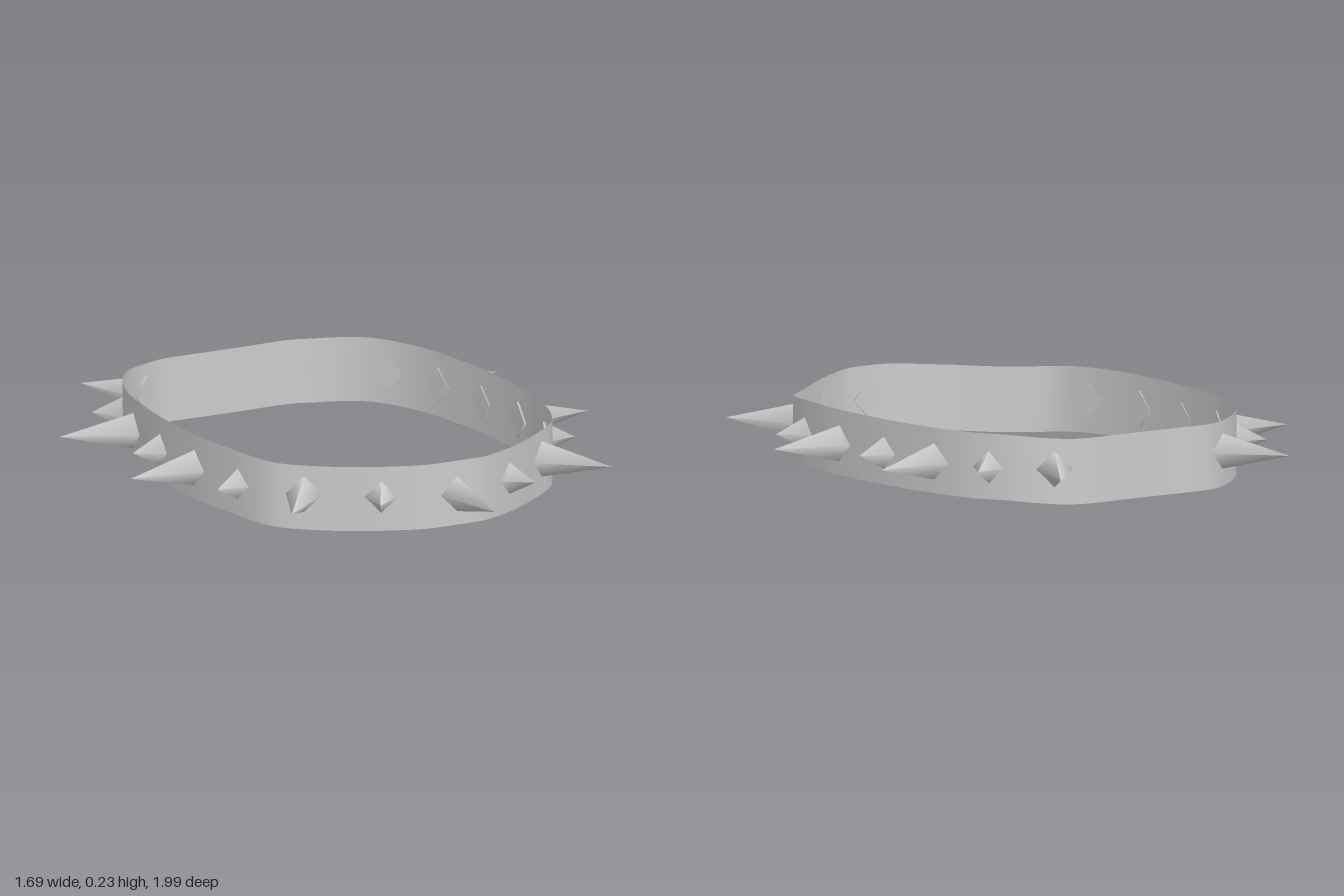
import * as THREE from 'three';
import { mergeVertices } from 'three/addons/utils/BufferGeometryUtils.js';

const grey = new THREE.MeshStandardMaterial({ color: 0xcccccc });
const greyBand = new THREE.MeshStandardMaterial({ color: 0xcccccc, side: THREE.DoubleSide });

// Left half of the band seen from above, back to front: x, z, sag in y
const OUTLINE = [
  [0.08, -0.82, -0.012], [0.235, -0.82, -0.012], [0.3, -0.8, -0.012], [0.385, -0.75, -0.006],
  [0.455, -0.68, 0], [0.515, -0.58, 0], [0.553, -0.47, 0], [0.574, -0.36, 0],
  [0.592, -0.22, 0], [0.6, -0.08, 0], [0.598, 0.1, 0], [0.582, 0.23, 0],
  [0.556, 0.35, -0.004], [0.515, 0.44, -0.011], [0.4, 0.54, -0.015], [0.27, 0.64, -0.01],
  [0.18, 0.695, -0.006], [0.1, 0.733, -0.002], [0.05, 0.741, 0],
];

// Thin closed strip swept along the outline
function bandGeometry(bottom, top, steps) {
  const left = OUTLINE.map(([x, z, y]) => new THREE.Vector3(x, y, z));
  const right = OUTLINE.map(([x, z, y]) => new THREE.Vector3(-x, y, z)).reverse();
  const curve = new THREE.CatmullRomCurve3([...left, ...right], true, 'centripetal');
  const geometry = new THREE.PlaneGeometry(1, 1, steps, 1);
  const pos = geometry.attributes.position;
  for (let i = 0; i <= steps; i++) {
    const p = curve.getPointAt((i % steps) / steps);
    pos.setXYZ(i, p.x, top + p.y, p.z);
    pos.setXYZ(i + steps + 1, p.x, bottom + p.y, p.z);
  }
  // Weld the seam so the normals run smoothly all the way round
  geometry.deleteAttribute('uv');
  geometry.deleteAttribute('normal');
  const welded = mergeVertices(geometry);
  welded.computeVertexNormals();
  return welded;
}

const largeGeometry = new THREE.ConeGeometry(0.061, 0.255, 4).translate(0, 0.1275 - 0.006, 0);
const smallGeometry = new THREE.ConeGeometry(0.056, 0.106, 4).translate(0, 0.053 - 0.006, 0);

// Four-sided spike from a base centre towards a tip, both given as x, z
function spike(name, geometry, [bx, bz], [tx, tz]) {
  const out = new THREE.Vector3(tx - bx, 0, tz - bz).normalize();
  const up = new THREE.Vector3(0, 1, 0);
  const side = new THREE.Vector3().crossVectors(out, up);
  const mesh = new THREE.Mesh(geometry, grey);
  mesh.name = name;
  mesh.quaternion.setFromRotationMatrix(new THREE.Matrix4().makeBasis(side, out, up));
  mesh.position.set(bx, 0.125, bz);
  return mesh;
}

export function createModel() {
  const group = new THREE.Group();
  group.name = 'spikedCollar';

  const band = new THREE.Mesh(bandGeometry(0.02, 0.236, 160), greyBand);
  band.name = 'band';
  group.add(band);

  // Spikes alternate large and small around the band
  group.add(spike('frontSpike', largeGeometry, [0, 0.741], [0, 0.99]));
  const large = [
    [[0.44, 0.51], [0.587, 0.698]],
    [[0.599, 0.06], [0.845, 0.08]],
    [[0.565, -0.42], [0.81, -0.47]],
  ];
  const small = [
    [[0.237, 0.662], [0.286, 0.745]],
    [[0.567, 0.297], [0.66, 0.328]],
    [[0.595, -0.182], [0.69, -0.185]],
    [[0.493, -0.624], [0.575, -0.68]],
  ];
  for (const s of [1, -1]) {
    const label = s > 0 ? 'left' : 'right';
    const flip = ([x, z]) => [s * x, z];
    large.forEach(([b, t]) => group.add(spike(label + 'LargeSpike', largeGeometry, flip(b), flip(t))));
    small.forEach(([b, t]) => group.add(spike(label + 'SmallSpike', smallGeometry, flip(b), flip(t))));
  }

  // The rear pair is slightly uneven
  group.add(spike('leftRearSpike', largeGeometry, [0.338, -0.775], [0.463, -0.985]));
  group.add(spike('rightRearSpike', largeGeometry, [-0.318, -0.785], [-0.44, -0.998]));
  return group;
}
